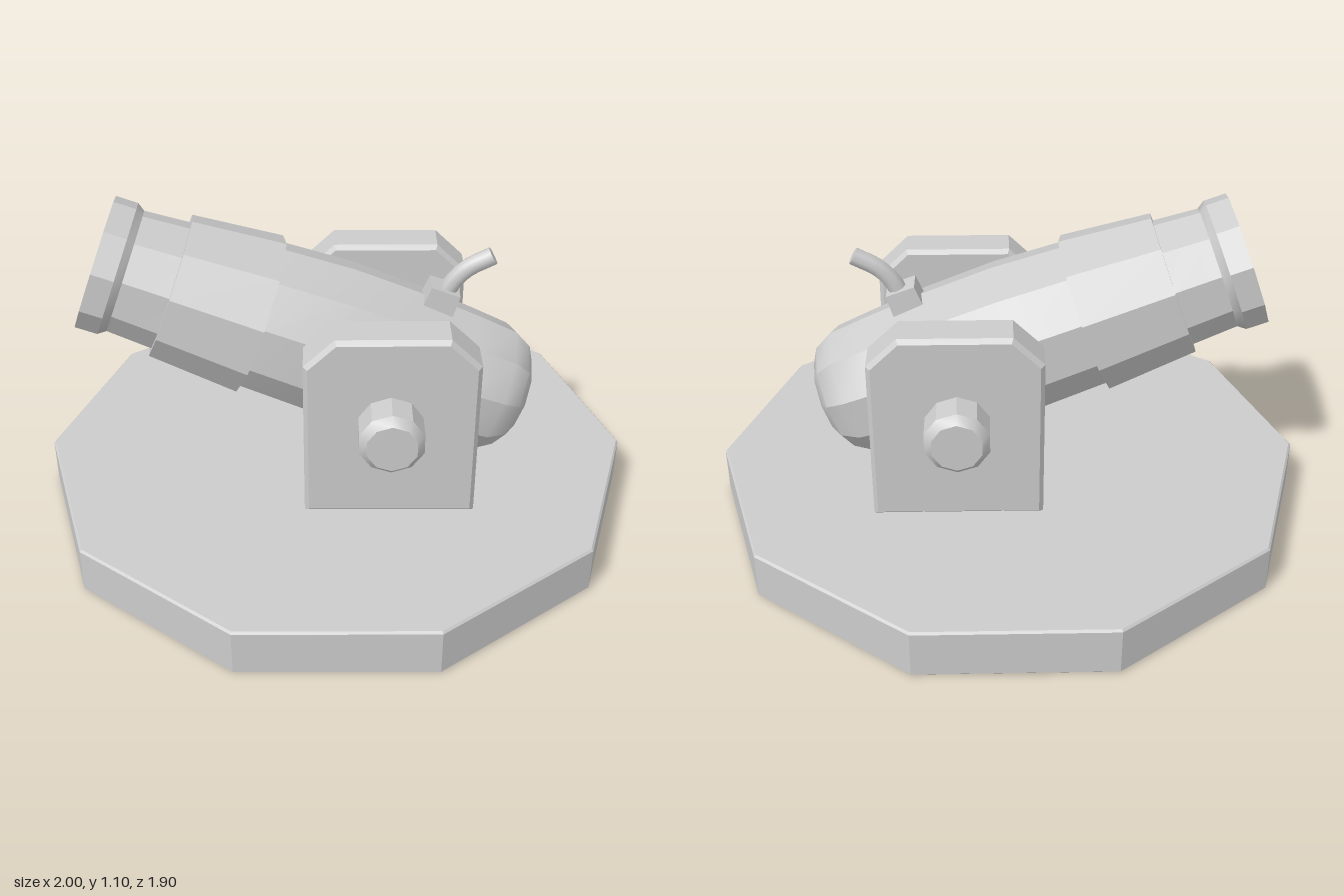
import * as THREE from 'three';
import { toCreasedNormals } from 'three/addons/utils/BufferGeometryUtils.js';

const SIDES = 10;
const MID_Z = 0.005;
const TILT = THREE.MathUtils.degToRad(20.3);

export function createModel() {
  const model = new THREE.Group();
  model.name = 'cannon';
  const material = new THREE.MeshStandardMaterial({ color: 0xcccccc });

  function add(name, geometry, parent = model) {
    const mesh = new THREE.Mesh(geometry, material);
    mesh.name = name;
    parent.add(mesh);
    return mesh;
  }

  // Faceted solid of revolution from [radius, height] pairs
  function turned(profile, phiStart = 0, crease = 0.55) {
    const points = profile.map(([r, h]) => new THREE.Vector2(r, h));
    return toCreasedNormals(new THREE.LatheGeometry(points, SIDES, phiStart), crease);
  }

  // Ten-sided base plate, corners on the x axis
  add('base', turned([
    [0, 0], [0.993, 0], [1, 0.007], [1, 0.158], [0.993, 0.165], [0, 0.165],
  ], Math.PI / 2, 0.3));

  // Barrel group: local +y runs from the muzzle back to the breech
  const gun = new THREE.Group();
  gun.name = 'gun';
  gun.position.set(-0.778, 0.89, 0.015);
  gun.rotation.z = -Math.PI / 2 - TILT;
  model.add(gun);

  // Bore, muzzle ring, neck, body and rounded breech in one profile
  add('barrel', turned([
    [0, 0.55], [0.168, 0.55], [0.168, 0],
    [0.224, 0], [0.224, 0.075], [0.206, 0.1],
    [0.217, 0.25], [0.25, 0.56], [0.262, 0.8], [0.255, 1.05],
    [0.24, 1.25], [0.226, 1.39], [0.19, 1.455], [0.137, 1.487], [0, 1.492],
  ], Math.PI / 2), gun);

  // Raised band around the middle of the barrel
  add('barrelBand', turned([
    [0.2, 0.253], [0.243, 0.253], [0.272, 0.56], [0.23, 0.56],
  ], Math.PI / 2), gun);

  // Side cheeks with clipped top corners, each with a trunnion knob
  const outline = new THREE.Shape([
    [-0.09, 0.175], [0.435, 0.175], [0.435, 0.71], [0.345, 0.797], [0, 0.797], [-0.09, 0.71],
  ].map(([x, y]) => new THREE.Vector2(x, y)));
  const cheekGeometry = new THREE.ExtrudeGeometry(outline, {
    depth: 0.115, bevelEnabled: true, bevelThickness: 0.015, bevelSize: 0.014, bevelSegments: 1,
  });
  cheekGeometry.translate(0, 0, -0.0575);
  const knobGeometry = turned([
    [0, 0], [0.107, 0], [0.107, 0.16], [0.082, 0.187], [0, 0.187],
  ]);
  for (const [side, prefix] of [[1, 'front'], [-1, 'back']]) {
    const cheek = add(prefix + 'Cheek', cheekGeometry);
    cheek.position.z = MID_Z + side * 0.3175;
    const knob = add(prefix + 'TrunnionKnob', knobGeometry);
    knob.position.set(0.17, 0.505, MID_Z + side * 0.328);
    knob.rotation.x = side * Math.PI / 2;
  }

  // Vent block on top of the breech, slightly wider at its foot
  const block = new THREE.BoxGeometry(0.1, 0.13, 0.09);
  const p = block.attributes.position;
  for (let i = 0; i < p.count; i++) {
    if (p.getY(i) < 0) p.setXYZ(i, p.getX(i) * 1.12, p.getY(i), p.getZ(i) * 1.2);
  }
  block.computeVertexNormals();
  const vent = add('ventBlock', block);
  vent.position.set(0.335, 0.735, 0.015);
  vent.rotation.z = -TILT;

  // Curved fuse with a capped end
  const path = new THREE.CatmullRomCurve3([
    [0.355, 0.75], [0.376, 0.805], [0.425, 0.862], [0.507, 0.908],
  ].map(([x, y]) => new THREE.Vector3(x, y, 0.015)));
  add('fuse', new THREE.TubeGeometry(path, 8, 0.031, 8));
  const cap = add('fuseTip', new THREE.CircleGeometry(0.031, 8));
  cap.position.copy(path.getPoint(1));
  cap.lookAt(cap.position.clone().add(path.getTangent(1)));

  return model;
}
